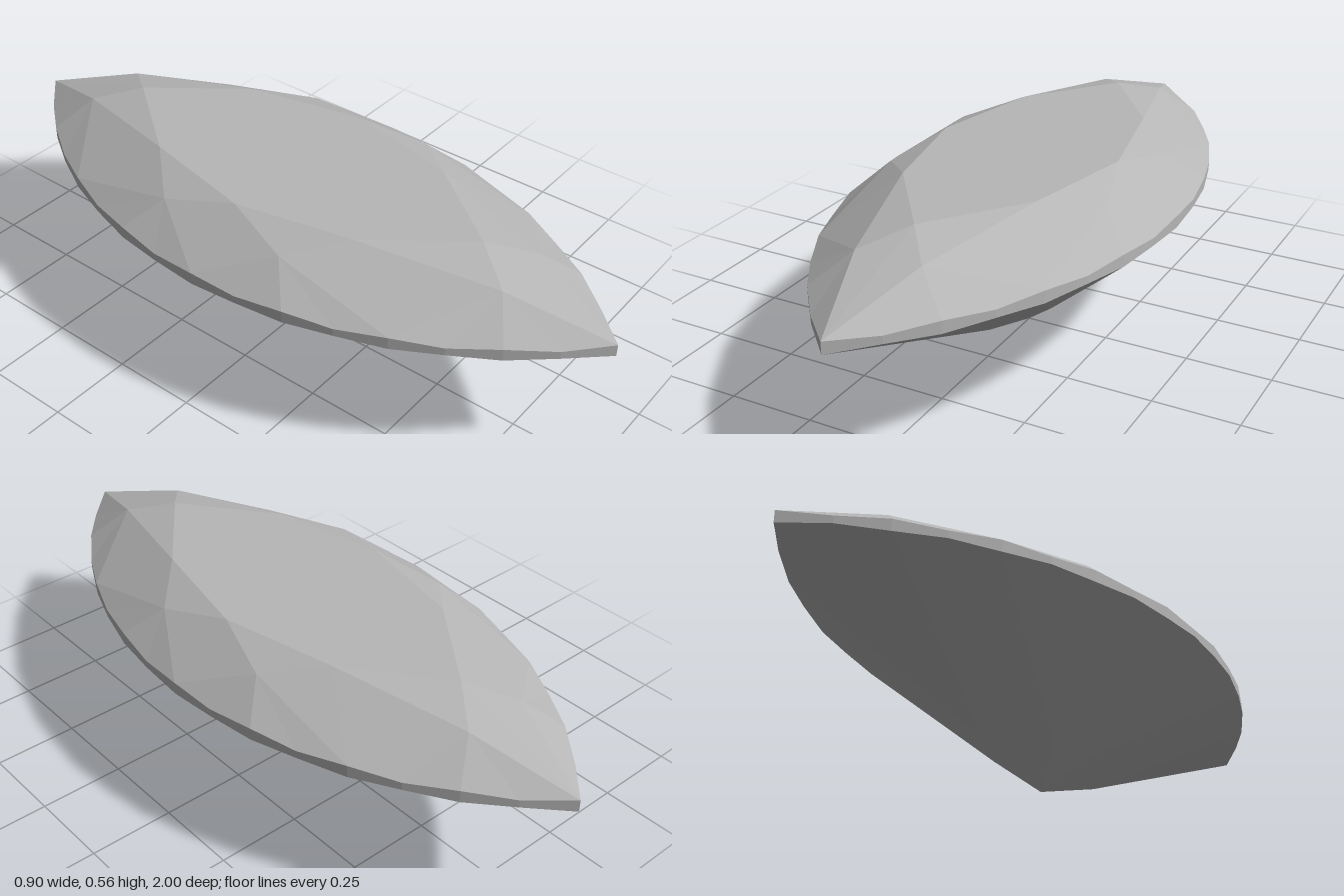
import * as THREE from 'three';

const gemGrey = new THREE.MeshStandardMaterial({ color: 0xb6b6b6 });
gemGrey.name = 'gem grey';

// Marquise outline: each side is one circular arc, 8 steps from waist (0) to tip (8)
const HALF_WIDTH = 0.45;
const RADIUS = (1 + HALF_WIDTH ** 2) / (2 * HALF_WIDTH);
const TIP_ANGLE = Math.asin(1 / RADIUS);

function girdlePoint(k, y) {
  const a = (TIP_ANGLE * k) / 8;
  const x = k === 8 ? 0 : RADIUS * Math.cos(a) - (RADIUS - HALF_WIDTH);
  return [x, y, RADIUS * Math.sin(a)];
}
// Scalloped upper and lower girdle edges
const upper = (k) => girdlePoint(k, k % 2 ? 0.422 : 0.43);
const lower = (k) => girdlePoint(k, k % 2 ? 0.4 : 0.395);

// Mirror one quarter's convex facets into all four quarters, facing outwards
function facetMesh(name, facets) {
  const positions = [];
  const centre = new THREE.Vector3(0, 0.38, 0);
  for (const sx of [1, -1]) {
    for (const sz of [1, -1]) {
      for (const facet of facets) {
        const p = facet.map(([x, y, z]) => new THREE.Vector3(x * sx, y, z * sz));
        for (let i = 1; i < p.length - 1; i++) {
          const tri = new THREE.Triangle(p[0], p[i], p[i + 1]);
          const normal = tri.getNormal(new THREE.Vector3());
          const out = tri.getMidpoint(new THREE.Vector3()).sub(centre);
          const order = normal.dot(out) > 0 ? [tri.a, tri.b, tri.c] : [tri.a, tri.c, tri.b];
          order.forEach((v) => positions.push(v.x, v.y, v.z));
        }
      }
    }
  }
  const geometry = new THREE.BufferGeometry();
  geometry.setAttribute('position', new THREE.Float32BufferAttribute(positions, 3));
  geometry.computeVertexNormals();
  const mesh = new THREE.Mesh(geometry, gemGrey);
  mesh.name = name;
  return mesh;
}

// Fan from an apex to a run of girdle points
const halfFacet = (apex, edge, from) => [apex, edge(from), edge(from + 1), edge(from + 2)];

export function createModel() {
  const gem = new THREE.Group();
  gem.name = 'marquiseGem';

  // Flat table
  const tableY = 0.555;
  const tableSide = [0.272, tableY, 0];
  const tableCorner = [0.2, tableY, 0.34];
  const tableTip = [0, tableY, 0.6];
  gem.add(facetMesh('table', [[[0, tableY, 0], tableSide, tableCorner, tableTip]]));

  // Crown: star facets, kites and upper girdle facets
  const starSide = [0.332, 0.514, 0.2];
  const starTip = [0.095, 0.516, 0.72];
  gem.add(facetMesh('crown', [
    [tableSide, starSide, tableCorner],
    [tableCorner, starTip, tableTip],
    [tableSide, upper(0), starSide],
    [tableCorner, starSide, upper(4), starTip],
    [tableTip, starTip, upper(8)],
    halfFacet(starSide, upper, 0),
    halfFacet(starSide, upper, 2),
    halfFacet(starTip, upper, 4),
    halfFacet(starTip, upper, 6),
  ]));

  // Thin upright girdle
  const band = [];
  for (let k = 0; k < 8; k++) band.push([lower(k), lower(k + 1), upper(k + 1), upper(k)]);
  gem.add(facetMesh('girdle', band));

  // Pavilion: main facets from the culet and lower girdle facets
  const culet = [0, 0, 0];
  const keel = [0, 0.08, 0.24];
  const flank = [0.11, 0.097, 0.075];
  gem.add(facetMesh('pavilion', [
    [culet, lower(0), flank],
    [culet, flank, lower(4), keel],
    halfFacet(flank, lower, 0),
    halfFacet(flank, lower, 2),
    halfFacet(keel, lower, 4),
    halfFacet(keel, lower, 6),
  ]));

  return gem;
}
